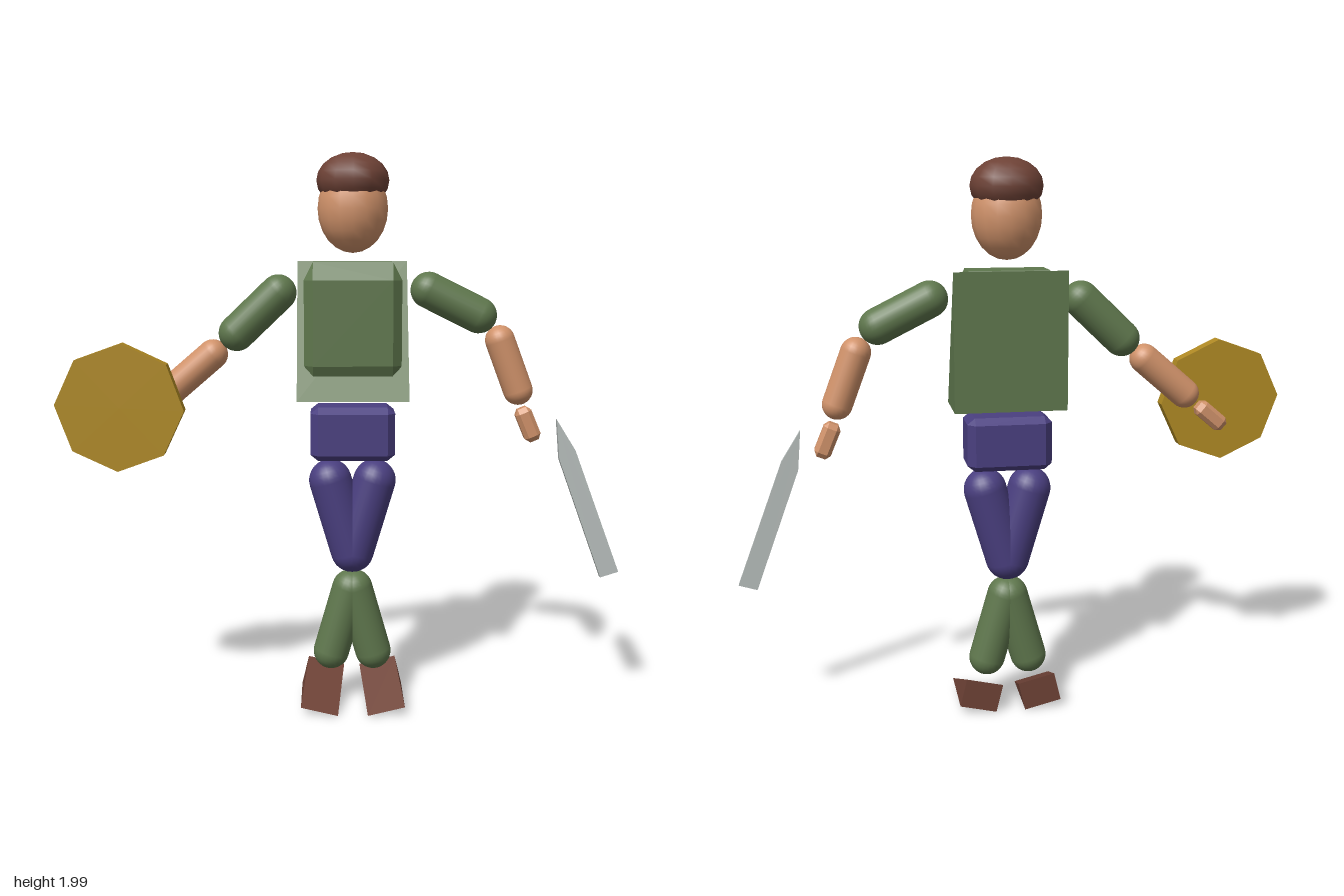
import * as THREE from 'three';
import { ConvexGeometry } from 'three/addons/geometries/ConvexGeometry.js';

const MID = 0.037; // centre line of the body in x
const BACK = -0.022; // centre of the body in z

const mat = (color, flatShading = false) => new THREE.MeshStandardMaterial({ color, flatShading });
const skin = mat(0xd0926a);
const skinFlat = mat(0xd0926a, true);
const green = mat(0x5f774d);
const greenFlat = mat(0x5f774d, true);
const purple = mat(0x4a3f80);
const purpleFlat = mat(0x4a3f80, true);
const brown = mat(0x6e4236);
const brownFlat = mat(0x6e4236, true);
const gold = mat(0xb08a24, true);
const steel = mat(0xb8bfbd, true);

export function createModel() {
  const model = new THREE.Group();
  model.name = 'figure';

  const add = (name, geometry, material, x, y, z, turn = 0) => {
    const mesh = new THREE.Mesh(geometry, material);
    mesh.name = name;
    mesh.position.set(x, y, z);
    mesh.rotation.z = turn;
    model.add(mesh);
    return mesh;
  };

  // Box with every edge and corner cut by (cx, cy, cz)
  const chamferBox = (w, h, d, cx, cy, cz) => {
    const points = [];
    for (const sx of [-1, 1]) for (const sy of [-1, 1]) for (const sz of [-1, 1]) {
      const [x, y, z] = [w / 2, h / 2, d / 2];
      points.push(
        new THREE.Vector3(sx * x, sy * (y - cy), sz * (z - cz)),
        new THREE.Vector3(sx * (x - cx), sy * y, sz * (z - cz)),
        new THREE.Vector3(sx * (x - cx), sy * (y - cy), sz * z));
    }
    return new ConvexGeometry(points);
  };

  // Ramp: tall at the back, running out to an edge at the front
  const wedge = (w, h, d) => {
    const side = new THREE.Shape();
    side.moveTo(-d / 2, -h / 2).lineTo(d / 2, -h / 2).lineTo(-d / 2, h / 2);
    return new THREE.ExtrudeGeometry(side, { depth: w, bevelEnabled: false })
      .translate(0, 0, -w / 2).rotateY(-Math.PI / 2);
  };

  // Capsule between two joints in the body plane
  const limb = (name, x1, y1, x2, y2, r, material) => {
    const dx = x1 - x2, dy = y1 - y2;
    add(name, new THREE.CapsuleGeometry(r, Math.hypot(dx, dy), 8, 24), material,
      (x1 + x2) / 2, (y1 + y2) / 2, BACK, Math.atan2(-dx, dy));
  };

  // Head and cap
  const ball = new THREE.SphereGeometry(1, 12, 10);
  add('head', new THREE.SphereGeometry(1, 16, 12), skin, MID, 1.803, BACK).scale.set(0.123, 0.152, 0.115);
  add('cap', ball, brown, MID, 1.9, BACK - 0.002).scale.set(0.127, 0.096, 0.123);

  // Trunk
  add('torso', chamferBox(0.343, 0.422, 0.18, 0.032, 0.062, 0.03), greenFlat, MID, 1.409, BACK);
  add('vest', wedge(0.394, 0.482, 0.213), greenFlat, MID, 1.38, -0.018);
  add('hips', chamferBox(0.3, 0.192, 0.18, 0.027, 0.022, 0.028), purpleFlat, MID, 1.016, BACK);

  // Legs and feet, mirrored about the centre line
  for (const [side, s] of [['left', 1], ['right', -1]]) {
    limb(side + 'Thigh', MID + s * 0.08, 0.838, MID + s * 0.002, 0.574, 0.077, purple);
    limb(side + 'Shin', MID + s * 0.008, 0.435, MID + s * 0.077, 0.193, 0.066, green);
    add(side + 'Foot', wedge(0.137, 0.108, 0.244), brownFlat, MID + s * 0.108, 0.073, 0.022, s * 0.235);
  }

  // Arms
  limb('leftUpperArm', 0.305, 1.522, 0.484, 1.433, 0.064, green);
  limb('leftForearm', 0.561, 1.345, 0.629, 1.166, 0.053, skin);
  limb('rightUpperArm', -0.225, 1.513, -0.374, 1.371, 0.064, green);
  limb('rightForearm', -0.459, 1.296, -0.612, 1.165, 0.053, skin);

  // Hands
  const hand = chamferBox(0.06, 0.128, 0.058, 0.014, 0.018, 0.014);
  add('leftHand', hand, skinFlat, 0.668, 1.042, BACK - 0.005, 0.4);
  add('rightHand', hand, skinFlat, -0.711, 1.08, BACK - 0.005, -0.87);

  // Eight-sided shield
  const disc = new THREE.CylinderGeometry(0.225, 0.225, 0.05, 8).rotateX(Math.PI / 2);
  add('shield', disc, gold, -0.776, 1.12, 0.081, -0.05);

  // Thin pointed blade
  const outline = new THREE.Shape([[0.76, 1.068], [0.773, 0.925], [0.935, 0.489], [1, 0.51], [0.83, 0.957]]
    .map(([x, y]) => new THREE.Vector2(x, y)));
  add('blade', new THREE.ExtrudeGeometry(outline, { depth: 0.022, bevelEnabled: false }), steel, 0, 0, 0.022);

  return model;
}
